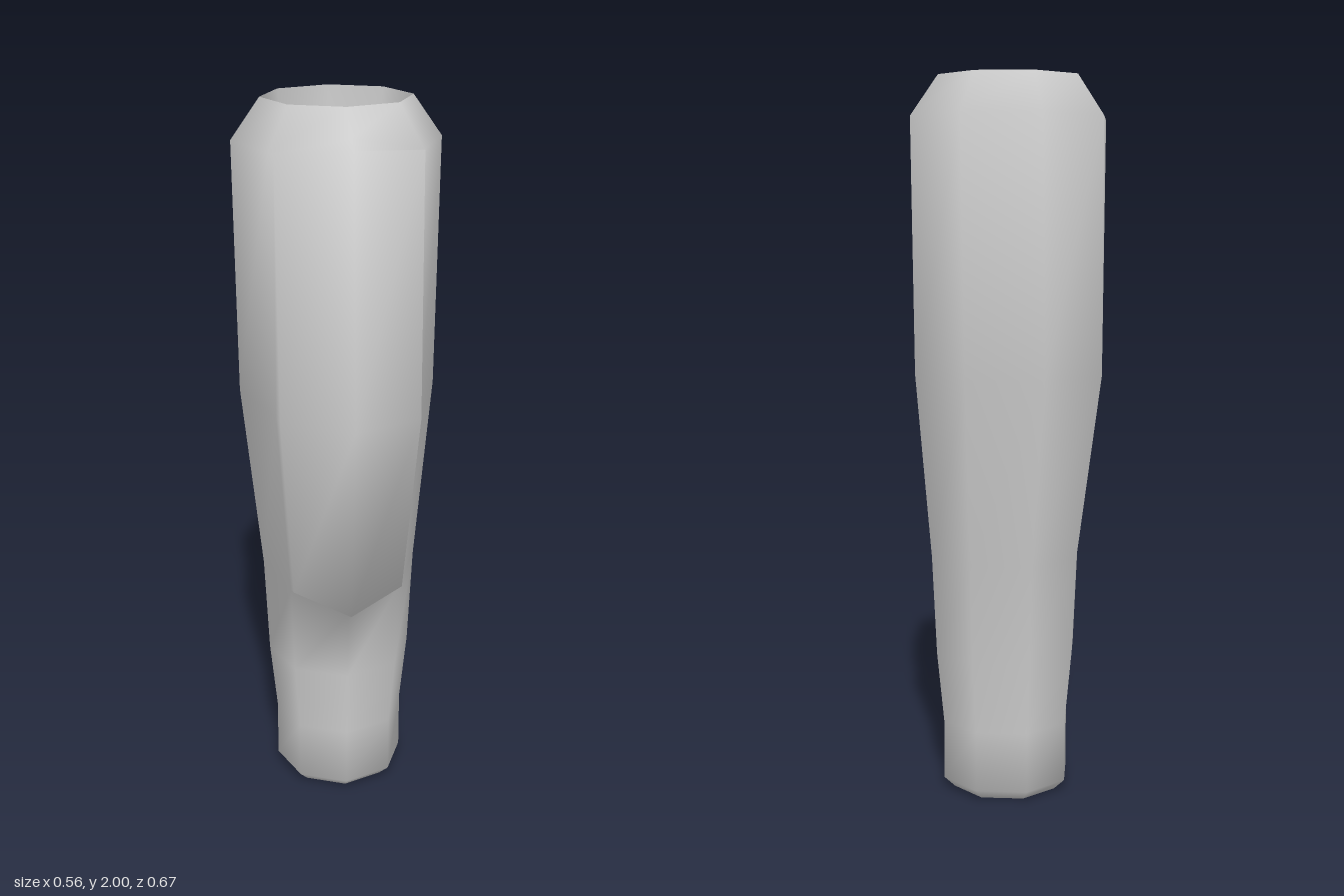
import * as THREE from 'three';
import { toCreasedNormals } from 'three/addons/utils/BufferGeometryUtils.js';

const D = Math.SQRT1_2;

// Eight-sided cross-section, listed from the front round through +x.
// rb / rf are the depths behind and in front of cz. The optional panel
// { dx, dy, dz, fy, fz } moves the raised front strip: its edge and its middle.
// edgeY and frontY let the front of a ring tilt.
function section({ y, cz, w, rb = w, rf = w, edgeY = y, frontY = y, panel }) {
  const edge = [w * D, edgeY, cz + rf * D];
  const strip = panel ? [panel.dx, panel.dy, panel.dz] : edge;
  const front = panel ? [0, panel.fy, panel.fz] : [0, frontY, cz + rf];
  const half = [strip, edge, [w, y, cz], [w * D, y, cz - rb * D]];
  const mirrored = half.map(([a, b, c]) => [-a, b, c]).reverse();
  return [front, ...half, [0, y, cz - rb], ...mirrored];
}

// Skin a list of sections, leaving out collapsed triangles
function loft(rings) {
  const out = [];
  const area = new THREE.Triangle();
  const tri = (...p) => {
    area.set(...p.map((q) => new THREE.Vector3(...q)));
    if (area.getArea() > 1e-7) p.forEach((q) => out.push(...q));
  };
  for (let i = 0; i < rings.length - 1; i++) {
    const a = rings[i], b = rings[i + 1], n = a.length;
    for (let j = 0; j < n; j++) {
      const k = (j + 1) % n;
      tri(a[j], a[k], b[k]);
      tri(a[j], b[k], b[j]);
    }
  }
  const geo = new THREE.BufferGeometry();
  geo.setAttribute('position', new THREE.Float32BufferAttribute(out, 3));
  return toCreasedNormals(geo, 1.7);
}

export function createModel() {
  const group = new THREE.Group();
  group.name = 'taperedSleeve';
  const material = new THREE.MeshStandardMaterial({ color: 0xcccccc });
  const add = (name, sections) => {
    const mesh = new THREE.Mesh(loft(sections.map(section)), material);
    mesh.name = name;
    group.add(mesh);
  };
  const low = -0.011, high = -0.047;

  // Outer shell, with the raised panel on its upper front
  add('outerShell', [
    { y: 0, cz: low, w: 0.128 },
    { y: 0, cz: low, w: 0.155 },
    { y: 0.03, cz: low, w: 0.186 },
    { y: 0.2, cz: low, w: 0.186 },
    { y: 0.4, cz: low, w: 0.206 },
    { y: 0.68, cz: low, w: 0.219, rf: 0.213, edgeY: 0.66, frontY: 0.605 },
    { y: 0.68, cz: low, w: 0.219, rf: 0.213, edgeY: 0.66,
      panel: { dx: 0.152, dy: 0.68, dz: 0.195, fy: 0.63, fz: 0.265 } },
    { y: 1.2, cz: high, w: 0.273, rb: 0.286, rf: 0.328,
      panel: { dx: 0.187, dy: 1.2, dz: 0.248, fy: 1.2, fz: 0.333 } },
    { y: 1.89, cz: high, w: 0.281, rb: 0.264, rf: 0.272,
      panel: { dx: 0.19, dy: 1.9, dz: 0.205, fy: 1.915, fz: 0.28 } },
    { y: 1.89, cz: high, w: 0.281, rb: 0.264, rf: 0.272, frontY: 1.935 },
    { y: 2, cz: high, w: 0.203, rb: 0.193, rf: 0.193 },
  ]);

  // Hollow in the upper end
  add('upperSocket', [
    { y: 2, cz: high, w: 0.203, rb: 0.193, rf: 0.193 },
    { y: 1.75, cz: high, w: 0.18 },
    { y: 1.55, cz: high, w: 0.15 },
    { y: 1.47, cz: high, w: 0 },
  ]);

  // Hollow in the lower end
  add('lowerSocket', [
    { y: 0.16, cz: low, w: 0 },
    { y: 0.13, cz: low, w: 0.115 },
    { y: 0, cz: low, w: 0.128 },
  ]);
  return group;
}
